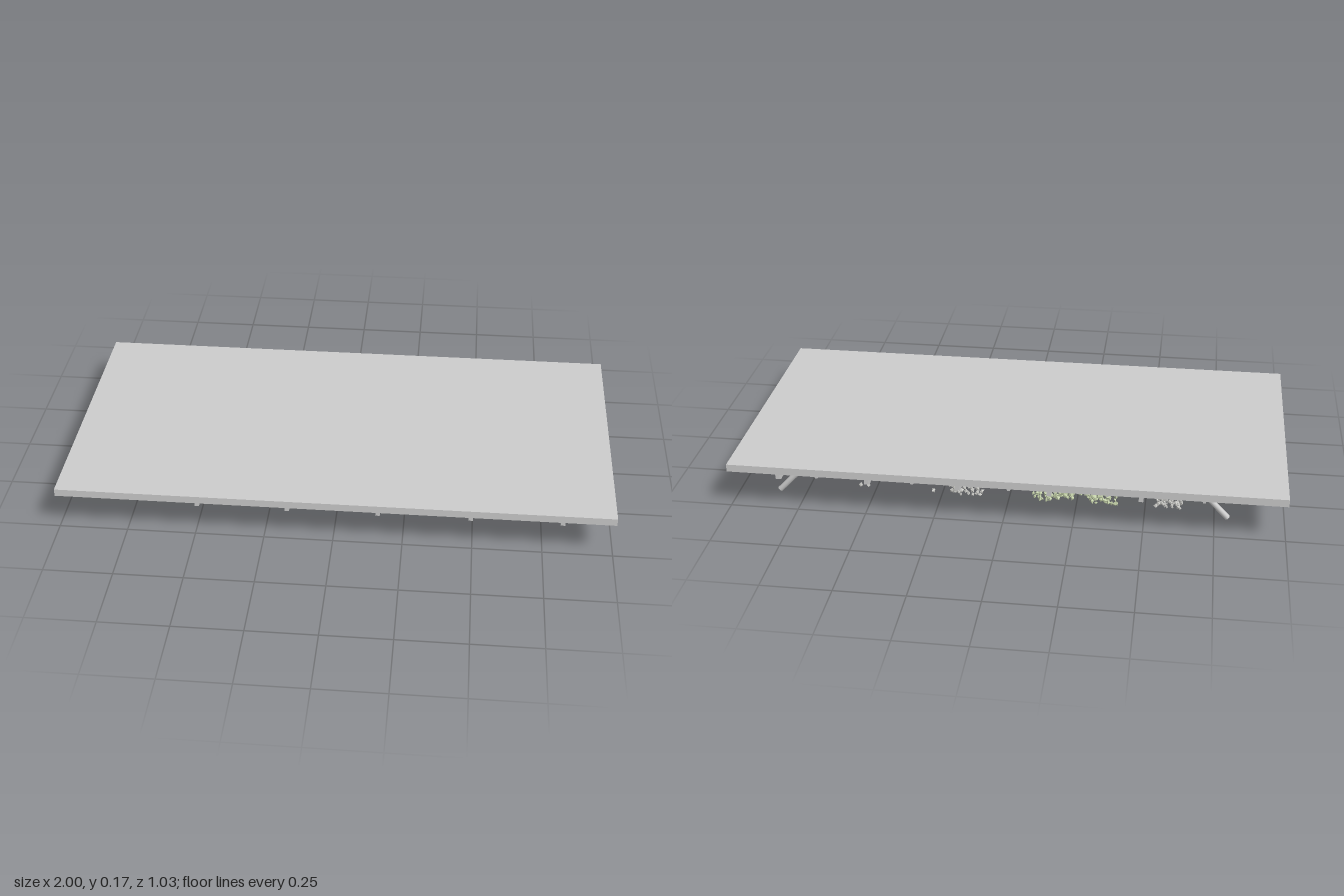
import * as THREE from 'three';

const mat = (name, color) => {
  const m = new THREE.MeshStandardMaterial({ color });
  m.name = name;
  return m;
};

export function createModel() {
  const root = new THREE.Group();
  root.name = 'roofDeck';
  const grey = mat('lightGrey', 0xcccccc);
  const green = mat('paleGreen', 0xc3d0a8);
  const stone = mat('paleStone', 0xc8c8c4);

  // Box given by its minimum and maximum corners
  function box(name, x0, x1, y0, y1, z0, z1, parent = root) {
    const m = new THREE.Mesh(new THREE.BoxGeometry(x1 - x0, y1 - y0, z1 - z0), grey);
    m.position.set((x0 + x1) / 2, (y0 + y1) / 2, (z0 + z1) / 2);
    m.name = name;
    parent.add(m);
  }

  // Flat slab
  box('slab', -1, 1, 0.147, 0.175, -0.513, 0.513);

  // Two main beams along the length, joined at one end
  for (const z of [0.115, -0.285]) box('mainBeam', -0.975, 0.975, 0.11, 0.138, z - 0.017, z + 0.017);
  box('endBeam', 0.963, 0.975, 0.117, 0.135, -0.27, 0.1);

  // Cross joists: five full-width ones, with lighter ones between
  const joists = new THREE.Group();
  joists.name = 'joists';
  root.add(joists);
  for (const x of [-0.49, -0.165, 0.16, 0.49, 0.815]) {
    box('joist', x - 0.008, x + 0.008, 0.117, 0.135, -0.49, 0.49, joists);
  }
  for (const x of [-0.71, -0.37, -0.02, 0.33, 0.68]) {
    box('lightJoist', x - 0.005, x + 0.005, 0.122, 0.135, -0.48, 0.34, joists);
  }

  // Thin battens between the joists and the slab
  const battens = new THREE.Group();
  battens.name = 'battens';
  root.add(battens);
  for (const z of [-0.235, -0.08, 0.03, 0.21, 0.35, 0.484]) {
    box('batten', -0.98, 0.98, 0.135, 0.147, z - 0.005, z + 0.005, battens);
  }
  for (const x of [-0.8, -0.58, -0.27, 0.07, 0.25, 0.58, 0.9]) {
    box('crossBatten', x - 0.005, x + 0.005, 0.137, 0.147, -0.24, 0.48, battens);
  }
  for (const x of [-0.49, -0.165, 0.16, 0.49, 0.815]) {
    box('joistPad', x - 0.008, x + 0.008, 0.125, 0.147, -0.505, -0.48, battens);
  }

  // Slanted round props splayed outward at both ends
  function prop(a, b) {
    const d = b.clone().sub(a);
    const m = new THREE.Mesh(new THREE.CylinderGeometry(0.0105, 0.0105, d.length(), 16), grey);
    m.position.copy(a).addScaledVector(d, 0.5);
    m.quaternion.setFromUnitVectors(new THREE.Vector3(0, 1, 0), d.normalize());
    m.name = 'prop';
    root.add(m);
  }
  for (const z of [0.312, -0.065, -0.374]) {
    prop(new THREE.Vector3(-0.798, 0.0075, z), new THREE.Vector3(-0.69, 0.121, z));
    prop(new THREE.Vector3(0.85, 0.0075, z), new THREE.Vector3(0.742, 0.121, z));
  }

  // Clusters of small hanging plants near the back edge
  let seed = 7;
  const rnd = () => (seed = (seed * 16807) % 2147483647) / 2147483647;
  const leafGeo = new THREE.OctahedronGeometry(1, 0);
  function cluster(name, x0, x1, y0, y1, count, material) {
    const g = new THREE.Group();
    g.name = name;
    for (let i = 0; i < count; i++) {
      const leaf = new THREE.Mesh(leafGeo, material);
      const r = 0.006 + rnd() * 0.005;
      leaf.scale.set(r, r, r * 0.7);
      const t = rnd();
      leaf.position.set(x0 + (x1 - x0) * t, y0 + (y1 - y0) * rnd(), -0.425 + (rnd() - 0.5) * 0.026);
      leaf.rotation.set(rnd() * 3, rnd() * 3, rnd() * 3);
      leaf.name = 'leaf';
      g.add(leaf);
    }
    root.add(g);
  }
  cluster('sidePlant', -0.64, -0.54, 0.066, 0.105, 45, stone);
  cluster('middlePlantLow', -0.4, -0.3, 0.064, 0.1, 35, green);
  cluster('middlePlant', -0.34, -0.16, 0.08, 0.108, 65, green);
  cluster('middlePlantEnd', -0.2, -0.1, 0.065, 0.1, 35, green);
  cluster('smallPlant', 0.085, 0.2, 0.066, 0.105, 45, stone);
  for (const x of [0.262, 0.505, 0.532]) cluster('strayLeaf', x, x, 0.07, 0.073, 1, stone);

  return root;
}
